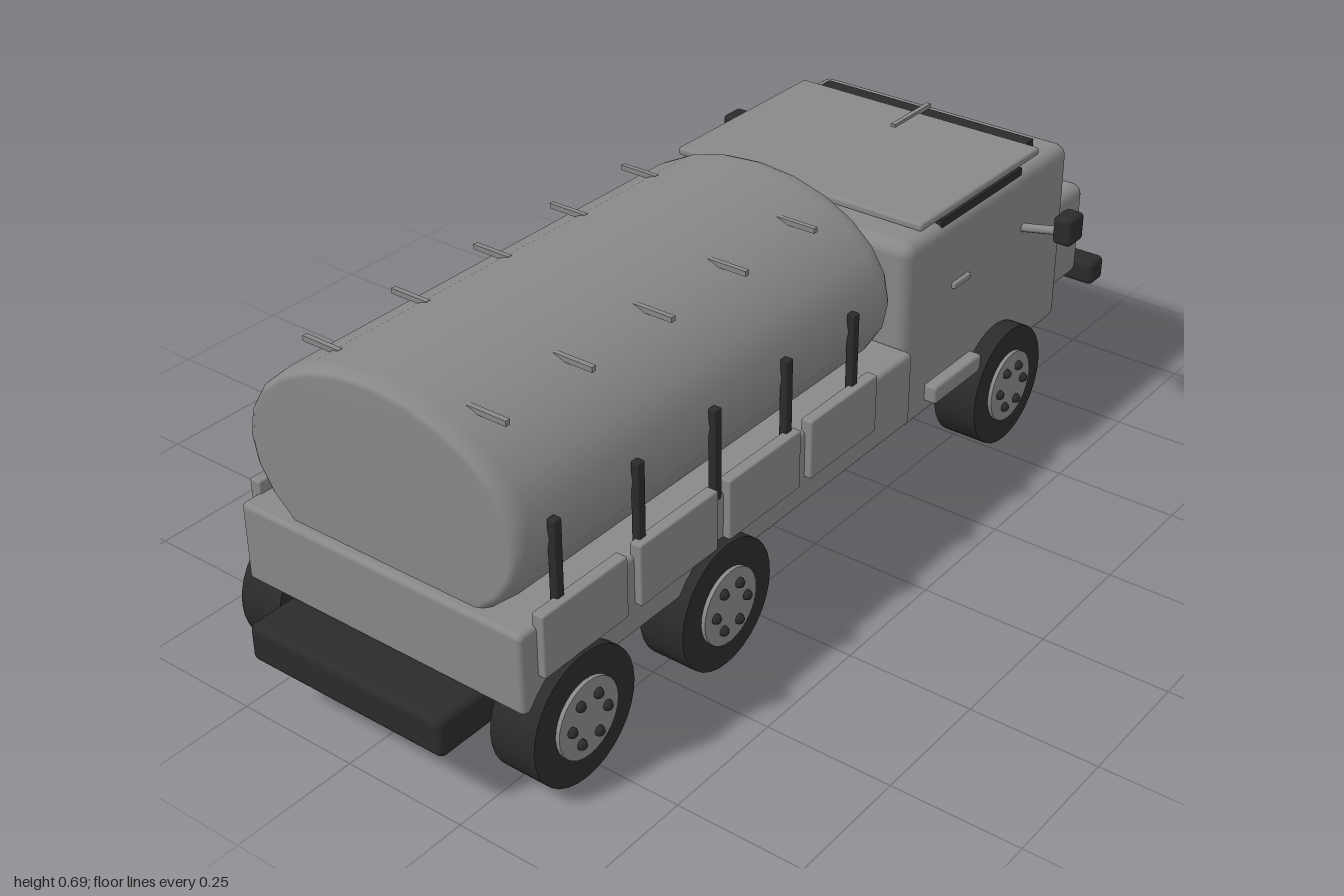
import * as THREE from 'three';
import { RoundedBoxGeometry } from 'three/addons/geometries/RoundedBoxGeometry.js';

export function createModel() {
  const truck = new THREE.Group();
  truck.name = 'tankerTruck';

  const grey = new THREE.MeshStandardMaterial({ color: 0x888888 });
  grey.name = 'body grey';
  const dark = new THREE.MeshStandardMaterial({ color: 0x2b2b2b });
  dark.name = 'dark rubber';

  const add = (name, geometry, material, parent = truck) => {
    const mesh = new THREE.Mesh(geometry, material);
    mesh.name = name;
    parent.add(mesh);
    return mesh;
  };
  // Box given by its limits on each axis, with an optional edge radius
  const box = (name, material, [x0, x1], [y0, y1], [z0, z1], r = 0) => {
    const size = [x1 - x0, y1 - y0, z1 - z0];
    const geometry = r ? new RoundedBoxGeometry(...size, 3, r) : new THREE.BoxGeometry(...size);
    const mesh = add(name, geometry, material);
    mesh.position.set((x0 + x1) / 2, (y0 + y1) / 2, (z0 + z1) / 2);
    return mesh;
  };
  // The same box on both sides of the truck
  const pair = (name, material, [x0, x1], y, z, r) => {
    box(name + 'Left', material, [x0, x1], y, z, r);
    box(name + 'Right', material, [-x1, -x0], y, z, r);
  };

  // Chassis, load bed and bumper
  box('chassis', dark, [-0.22, 0.22], [0.115, 0.191], [-0.89, 1], 0.014);
  box('loadBed', grey, [-0.316, 0.316], [0.19, 0.347], [-0.215, 0.907], 0.01);
  box('bumper', dark, [-0.307, 0.307], [0.174, 0.229], [-1, -0.947], 0.012);

  // Cab and hood
  box('cab', grey, [-0.3, 0.3], [0.16, 0.562], [-0.81, -0.212], 0.026);
  box('hood', grey, [-0.272, 0.272], [0.2, 0.412], [-0.948, -0.77], 0.024);
  box('grille', dark, [-0.14, 0.14], [0.267, 0.332], [-0.956, -0.947]);
  pair('headlight', grey, [0.165, 0.25], [0.325, 0.37], [-0.955, -0.947]);

  // Roof panel with dark strips beneath its edges
  box('roofPanel', grey, [-0.288, 0.288], [0.57, 0.587], [-0.705, -0.268], 0.006);
  box('roofFrontStrip', dark, [-0.25, 0.25], [0.55, 0.58], [-0.745, -0.703]);
  pair('roofSideStrip', dark, [0.25, 0.292], [0.55, 0.571], [-0.63, -0.335]);
  box('roofRod', grey, [-0.005, 0.005], [0.583, 0.593], [-0.745, -0.61]);

  // Steps and door handles
  pair('step', grey, [0.28, 0.326], [0.198, 0.236], [-0.46, -0.29], 0.006);
  pair('doorHandle', grey, [0.298, 0.308], [0.413, 0.426], [-0.43, -0.37], 0.003);

  // Mirrors on slanted arms
  pair('mirror', dark, [0.385, 0.426], [0.444, 0.503], [-0.656, -0.6], 0.009);
  for (const s of [1, -1]) {
    const arm = new THREE.LineCurve3(
      new THREE.Vector3(s * 0.29, 0.436, -0.638), new THREE.Vector3(s * 0.395, 0.458, -0.638));
    add(s > 0 ? 'mirrorArmLeft' : 'mirrorArmRight', new THREE.TubeGeometry(arm, 1, 0.009, 10), grey);
  }

  // Oval tank with softly rounded ends
  const profile = [[0, -0.523], [0.93, -0.523], [0.965, -0.517], [0.99, -0.505], [1, -0.485],
    [1, 0.485], [0.99, 0.505], [0.965, 0.517], [0.93, 0.523], [0, 0.523]]
    .map(([r, y]) => new THREE.Vector2(r, y));
  const tank = new THREE.LatheGeometry(profile, 24);
  tank.rotateX(Math.PI / 2).scale(0.305, 0.205, 1);
  add('tank', tank, grey).position.set(0, 0.48, 0.365);

  // Upright straps and short grab bars along the tank
  for (let i = 0; i < 5; i++) {
    const z = -0.015 + i * 0.206;
    pair('strap', dark, [0.3, 0.317], [0.335, 0.517], [z - 0.009, z + 0.009], 0.003);
    pair('grabBar', grey, [0.14, 0.222], [0.652, 0.662], [z - 0.005, z + 0.005]);
  }

  // Side lockers on the load bed
  for (let i = 0; i < 4; i++) {
    const z = 0.035 + i * 0.243;
    pair('locker', grey, [0.306, 0.331], [0.25, 0.371], [z - 0.105, z + 0.105], 0.004);
  }

  // Wheels: tyre, hub and six bolts, with the axis along x
  const across = (r, w, n) => new THREE.CylinderGeometry(r, r, w, n).rotateZ(Math.PI / 2);
  const tyre = across(0.127, 0.094, 32);
  const hub = across(0.075, 0.02, 28);
  const bolt = new THREE.SphereGeometry(0.01, 10, 8);
  for (const z of [-0.55, 0.4, 0.785]) {
    for (const s of [1, -1]) {
      const wheel = new THREE.Group();
      wheel.name = 'wheel';
      wheel.position.set(s * 0.291, 0.127, z);
      add('tyre', tyre, dark, wheel);
      add('hub', hub, grey, wheel).position.x = s * 0.045;
      for (let i = 0; i < 6; i++) {
        const a = (i * Math.PI) / 3;
        add('bolt', bolt, dark, wheel)
          .position.set(s * 0.057, 0.045 * Math.sin(a), 0.045 * Math.cos(a));
      }
      truck.add(wheel);
    }
  }
  return truck;
}
